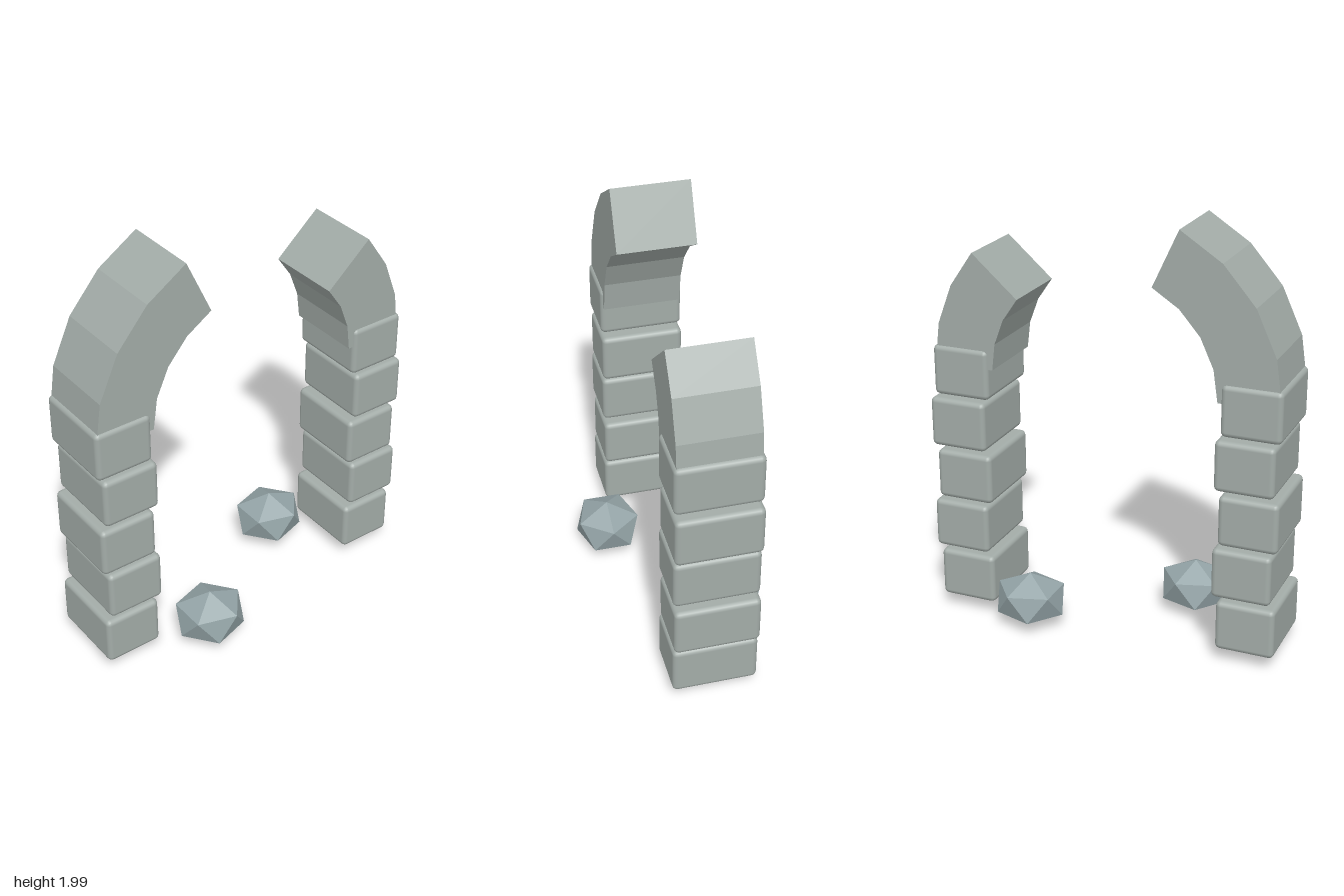
import * as THREE from 'three';
import { RoundedBoxGeometry } from 'three/addons/geometries/RoundedBoxGeometry.js';
import { ConvexGeometry } from 'three/addons/geometries/ConvexGeometry.js';

const stone = new THREE.MeshStandardMaterial({ color: 0xa3aca8 });
const archStone = new THREE.MeshStandardMaterial({ color: 0xa3aca8, flatShading: true });
const rubble = new THREE.MeshStandardMaterial({ color: 0x93a3a6, flatShading: true });

const MID_Z = -0.034;

function addMesh(parent, name, geometry, material, x = 0, y = 0, z = 0) {
  const mesh = new THREE.Mesh(geometry, material);
  mesh.name = name;
  mesh.position.set(x, y, z);
  parent.add(mesh);
  return mesh;
}

// Five rounded blocks, every second one shifted sideways
function pillar(name, x) {
  const group = new THREE.Group();
  group.name = name;
  const block = new RoundedBoxGeometry(0.277, 0.239, 0.394, 2, 0.024);
  for (let i = 0; i < 5; i++) {
    addMesh(group, 'block' + (i + 1), block, stone, x + (i % 2) * 0.025, 0.195 + i * 0.2585, MID_Z);
  }
  return group;
}

// Faceted piece of a ring, rising from the pillar top; side is -1 or 1
function brokenArch(side, segments, sweepDegrees) {
  const sweep = THREE.MathUtils.degToRad(sweepDegrees);
  const points = [];
  const addArc = (radius, reverse) => {
    for (let i = 0; i <= segments; i++) {
      const a = sweep * (reverse ? segments - i : i) / segments;
      points.push(new THREE.Vector2(side * radius * Math.cos(a), radius * Math.sin(a)));
    }
  };
  addArc(0.814, false);
  addArc(0.525, true);
  const depth = 0.368;
  const geometry = new THREE.ExtrudeGeometry(new THREE.Shape(points), { depth, bevelEnabled: false });
  geometry.translate(0, 0, -depth / 2);
  return geometry;
}

// Twelve-cornered rock: two poles and two staggered rings of five
function rockGeometry() {
  const points = [new THREE.Vector3(0, 0.131, 0), new THREE.Vector3(0, -0.131, 0)];
  for (let i = 0; i < 10; i++) {
    const a = (i * Math.PI) / 5;
    const y = i % 2 ? -0.0585 : 0.0585;
    points.push(new THREE.Vector3(0.163 * Math.cos(a), y, 0.154 * Math.sin(a)));
  }
  return new ConvexGeometry(points);
}

export function createModel() {
  const model = new THREE.Group();
  model.name = 'ruinedArch';

  model.add(pillar('rightPillar', -0.71), pillar('leftPillar', 0.68));

  addMesh(model, 'rightArchPiece', brokenArch(-1, 4, 65.3), archStone, -0.03, 1.26, MID_Z);
  addMesh(model, 'leftArchPiece', brokenArch(1, 3, 41.4), archStone, -0.005, 1.26, MID_Z);

  const rock = rockGeometry();
  addMesh(model, 'frontRock', rock, rubble, -0.322, 0.14, 0.213);
  addMesh(model, 'backRock', rock, rubble, 0.353, 0.14, -0.217);

  return model;
}
